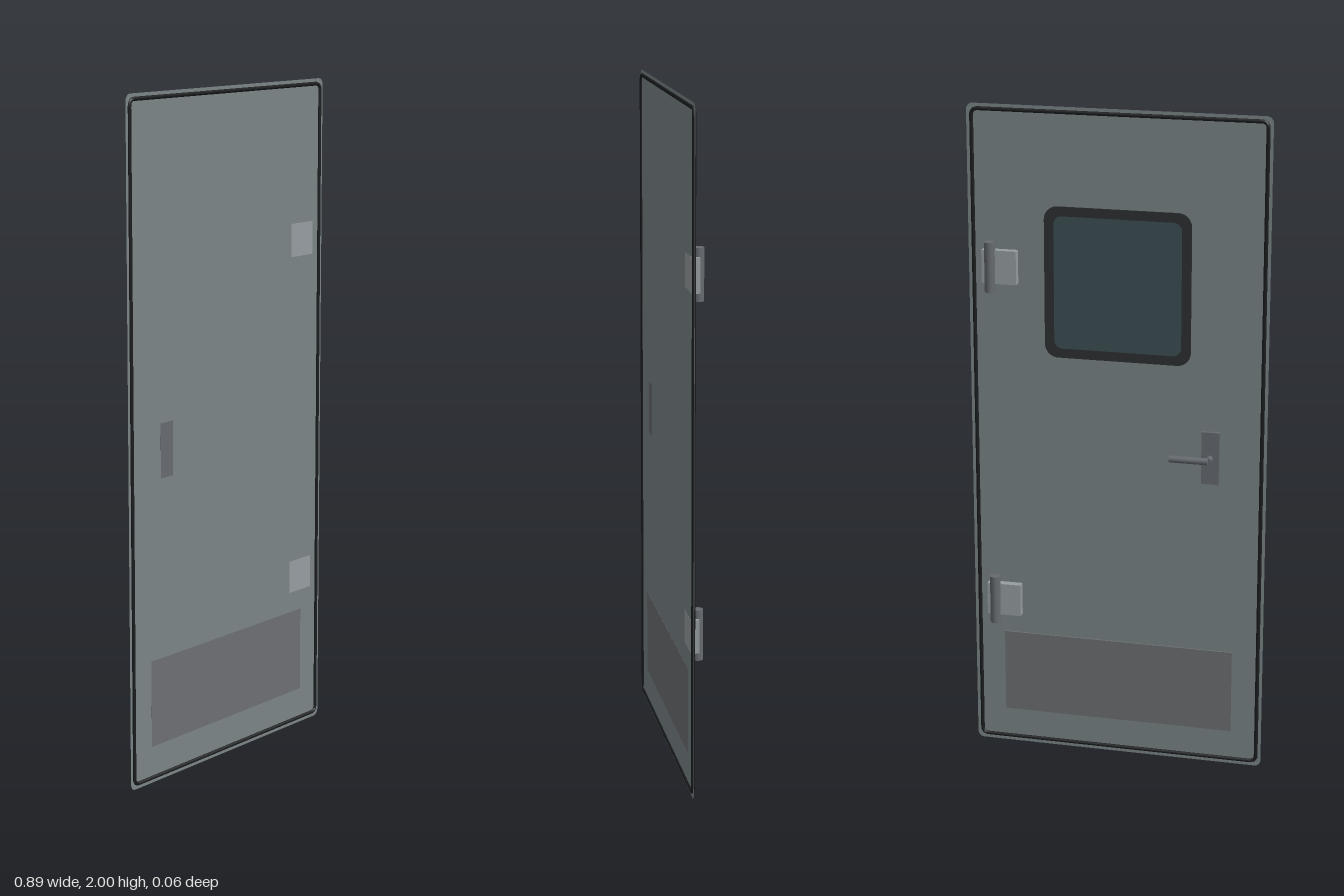
import * as THREE from 'three';

const FACE = 0.02; // z of the thin door skin

function mat(color, extra = {}) {
  return new THREE.MeshStandardMaterial({ color, ...extra });
}

const skinMat = mat(0x7a8486, { side: THREE.DoubleSide });
const rubberMat = mat(0x1a1c1e);
const trimMat = mat(0x2c2f31);
const glassMat = mat(0x3c4e54);
const kickMat = mat(0x6c6f72);
const hingeMat = mat(0x969da0);
const pinMat = mat(0x666a6f);
const handleMat = mat(0x666a70);

function roundedRect(w, h, r, Type = THREE.Shape) {
  const s = new Type(), x = w / 2, y = h / 2;
  s.moveTo(-x + r, -y);
  s.lineTo(x - r, -y);
  s.absarc(x - r, -y + r, r, -Math.PI / 2, 0);
  s.lineTo(x, y - r);
  s.absarc(x - r, y - r, r, 0, Math.PI / 2);
  s.lineTo(-x + r, y);
  s.absarc(-x + r, y - r, r, Math.PI / 2, Math.PI);
  s.lineTo(-x, -y + r);
  s.absarc(-x + r, -y + r, r, Math.PI, Math.PI * 1.5);
  return s;
}

function add(parent, name, geometry, material, x, y, z) {
  const m = new THREE.Mesh(geometry, material);
  m.name = name;
  m.position.set(x, y, z);
  parent.add(m);
  return m;
}

// Plate whose front lies on the door skin and whose back stands out toward -z
function plate(parent, name, w, h, back, material, x, y) {
  const front = FACE + 0.0003;
  return add(parent, name, new THREE.BoxGeometry(w, h, front - back), material, x, y, (front + back) / 2);
}

// Round tube following a rounded rectangle
function gasketGeometry(w, h, r, radius) {
  const outline = roundedRect(w, h, r).getPoints(6);
  const path = new THREE.CurvePath();
  for (let i = 0; i < outline.length; i++) {
    const a = outline[i], b = outline[(i + 1) % outline.length];
    if (a.distanceTo(b) < 1e-5) continue;
    path.add(new THREE.LineCurve3(new THREE.Vector3(a.x, a.y, 0), new THREE.Vector3(b.x, b.y, 0)));
  }
  return new THREE.TubeGeometry(path, 600, radius, 8, true);
}

export function createModel() {
  const door = new THREE.Group();
  door.name = 'door';

  // Door skin and the rubber seal around its edge
  add(door, 'doorPanel', new THREE.ShapeGeometry(roundedRect(0.894, 1.995, 0.02), 6), skinMat, 0, 1.0025, FACE);
  add(door, 'edgeSeal', gasketGeometry(0.864, 1.964, 0.016, 0.0058), rubberMat, 0, 1.0025, FACE);

  // Window on the back
  const trim = roundedRect(0.436, 0.452, 0.04);
  trim.holes.push(roundedRect(0.38, 0.396, 0.025, THREE.Path));
  const trimGeo = new THREE.ExtrudeGeometry(trim, { depth: 0.0045, bevelEnabled: false, curveSegments: 8 });
  add(door, 'windowTrim', trimGeo, trimMat, 0, 1.485, 0.015);
  const glassGeo = new THREE.ExtrudeGeometry(roundedRect(0.39, 0.406, 0.025),
    { depth: 0.0015, bevelEnabled: false, curveSegments: 8 });
  add(door, 'windowGlass', glassGeo, glassMat, 0, 1.485, 0.017);

  // Kick plate
  plate(door, 'kickPlate', 0.708, 0.258, 0.015, kickMat, 0, 0.243);

  // Hinges
  for (const y of [0.484, 1.525]) {
    const hinge = new THREE.Group();
    hinge.name = 'hinge';
    plate(hinge, 'hingeLeaf', 0.104, 0.1, -0.004, hingeMat, 0.35, y);
    add(hinge, 'hingePin', new THREE.CylinderGeometry(0.016, 0.016, 0.15, 16), pinMat, 0.377, y, -0.003);
    door.add(hinge);
  }

  // Lever handle
  const handle = new THREE.Group();
  handle.name = 'handle';
  plate(handle, 'handlePlate', 0.053, 0.16, 0.008, handleMat, -0.281, 0.985);
  const stem = add(handle, 'handleStem', new THREE.CylinderGeometry(0.01, 0.01, 0.03, 12), handleMat, -0.28, 0.985, -0.005);
  stem.rotation.x = Math.PI / 2;
  const lever = add(handle, 'handleLever', new THREE.CylinderGeometry(0.0105, 0.0105, 0.115, 12), handleMat, -0.2225, 0.985, -0.02);
  lever.rotation.z = Math.PI / 2;
  door.add(handle);

  return door;
}
